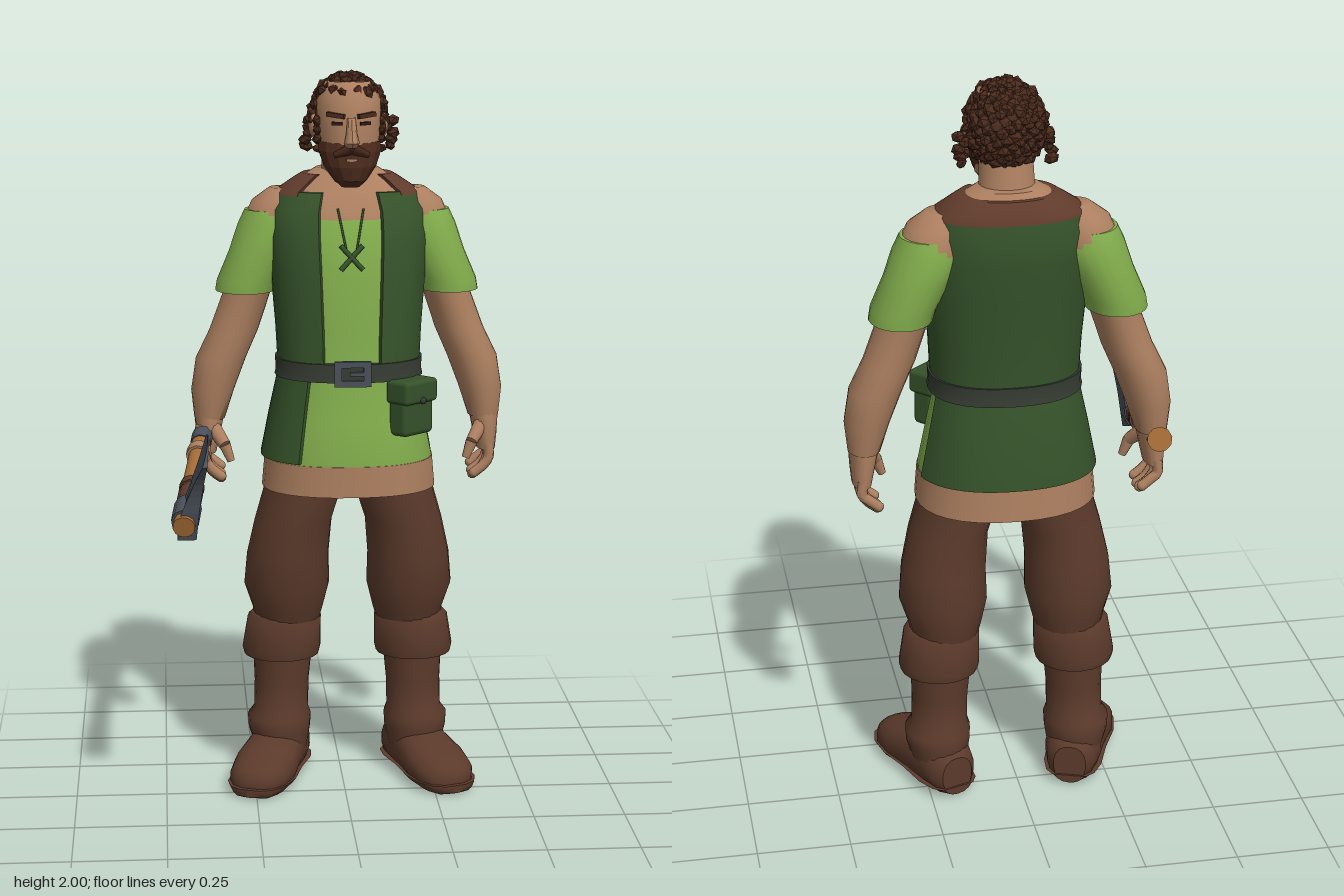
import * as THREE from 'three';
import { mergeGeometries, toCreasedNormals } from 'three/addons/utils/BufferGeometryUtils.js';
import { RoundedBoxGeometry } from 'three/addons/geometries/RoundedBoxGeometry.js';

const paint = (name, color, side = THREE.FrontSide) => {
  const m = new THREE.MeshStandardMaterial({ color, side });
  m.name = name;
  return m;
};
const V = (x, y, z) => new THREE.Vector3(x, y, z);

// Skin a stack of ellipses [y, cx, cz, rx, rz], bottom to top; an arc leaves an open gap with turned-in edges
function loft(rows, { n = 20, arc = null, pow = 1, crease = 0.8 } = {}) {
  const pos = [], idx = [], curve = t => Math.sign(t) * Math.abs(t) ** pow;
  const m = arc ? n + 3 : n;
  for (const [y, cx, cz, rx, rz] of rows) {
    for (let j = 0; j < m; j++) {
      const edge = arc && (j === 0 || j === m - 1);
      const k = arc ? Math.min(Math.max(j - 1, 0), n) : j;
      const a = arc ? arc[0] + (arc[1] - arc[0]) * k / n : k / n * Math.PI * 2;
      const d = edge ? 0.022 : 0;
      pos.push(cx + (rx - d) * curve(Math.sin(a)), y, cz + (rz - d) * curve(Math.cos(a)));
    }
  }
  for (let i = 0; i < rows.length - 1; i++) {
    for (let j = 0; j < (arc ? m - 1 : m); j++) {
      const a = i * m + j, b = i * m + (j + 1) % m;
      idx.push(a, b, b + m, a, b + m, a + m);
    }
  }
  if (!arc) [0, rows.length - 1].forEach((i, top) => {
    const c = pos.length / 3, [y, cx, cz] = rows[i];
    pos.push(cx, y, cz);
    for (let j = 0; j < m; j++) {
      const a = i * m + j, b = i * m + (j + 1) % m;
      top ? idx.push(c, a, b) : idx.push(c, b, a);
    }
  });
  const g = new THREE.BufferGeometry();
  g.setAttribute('position', new THREE.Float32BufferAttribute(pos, 3));
  g.setIndex(idx);
  return toCreasedNormals(g, crease);
}

// Torso outline: [y, centre z, half width, half depth]
const TORSO = [[0.85, -0.167, 0.24, 0.197], [0.94, -0.165, 0.232, 0.193], [1.05, -0.168, 0.21, 0.178],
  [1.18, -0.163, 0.182, 0.15], [1.3, -0.168, 0.188, 0.148], [1.45, -0.18, 0.2, 0.148], [1.55, -0.193, 0.208, 0.143],
  [1.62, -0.207, 0.205, 0.13], [1.67, -0.218, 0.18, 0.107], [1.7, -0.222, 0.135, 0.09], [1.73, -0.222, 0.085, 0.07]];
function torsoAt(y, off) {
  let i = 0;
  while (i < TORSO.length - 2 && TORSO[i + 1][0] < y) i++;
  const a = TORSO[i], b = TORSO[i + 1], t = (y - a[0]) / (b[0] - a[0]);
  const [cz, rx, rz] = [1, 2, 3].map(k => a[k] + (b[k] - a[k]) * t);
  return [y, 0, cz, rx + off, rz + off];
}
const torso = (y0, y1, off = 0) =>
  [y0, ...TORSO.map(r => r[0]).filter(y => y > y0 + 0.001 && y < y1 - 0.001), y1].map(y => torsoAt(y, off));
// A garment layer whose top and bottom edges turn in to the body
const layer = (y0, y1, off) => [torsoAt(y0, -0.01), ...torso(y0, y1, off), torsoAt(y1, -0.01)];

function rod(p, q, r0, r1 = r0, n = 10) {
  const d = q.clone().sub(p), g = new THREE.CylinderGeometry(r1, r0, d.length(), n);
  g.applyQuaternion(new THREE.Quaternion().setFromUnitVectors(V(0, 1, 0), d.clone().normalize()));
  return g.translate(...p.clone().add(q).multiplyScalar(0.5).toArray());
}

export function createModel() {
  const skin = paint('skin', 0xad8060), lime = paint('tunic green', 0x82ad4c);
  const green = paint('vest green', 0x35522a, THREE.DoubleSide), brown = paint('brown leather', 0x5b3a2b);
  const yokeBrown = paint('yoke brown', 0x613c2c, THREE.DoubleSide);
  const hair = paint('hair brown', 0x4a2a1c), steel = paint('steel', 0x4a505a);
  const wood = paint('wood', 0xa56c36), belt = paint('belt leather', 0x353b31), eyeDark = paint('eye dark', 0x2a1c17);

  const root = new THREE.Group(), man = new THREE.Group(), axe = new THREE.Group();
  root.name = 'woodsman'; man.name = 'figure'; axe.name = 'axe';
  man.position.x = 0.02;
  root.add(man, axe);
  const add = (name, geo, mat, parent = man) => {
    const m = new THREE.Mesh(geo, mat);
    m.name = name;
    parent.add(m);
    return m;
  };

  // Tunic, chest and neck
  const TAU = Math.PI * 2, body = { n: 32, pow: 0.88 };
  add('tunicHem', loft(torso(0.85, 0.935, 0.002), body), skin);
  add('tunic', loft(torso(0.935, 1.6), body), lime);
  add('chest', loft(torso(1.6, 1.73), body), skin);
  add('neck', loft([[1.66, 0, -0.205, 0.085, 0.075], [1.72, 0, -0.2, 0.073, 0.068], [1.8, 0, -0.185, 0.07, 0.068]]), skin);

  // Open vest, its yoke and the split skirt
  add('vest', loft(layer(1.21, 1.67, 0.014), { ...body, arc: [0.36, TAU - 0.36] }), green);
  add('vestYoke', loft(layer(1.66, 1.715, 0.015), { ...body, arc: [0.75, TAU - 0.75] }), yokeBrown);
  add('vestSkirt', loft(layer(0.94, 1.17, 0.013), { ...body, arc: [1.85, TAU - 0.6] }), green);

  // Belt, buckle and pouch
  add('belt', loft(layer(1.165, 1.215, 0.02), body), belt);
  const frame = new THREE.Shape([[-0.05, -0.035], [0.05, -0.035], [0.05, 0.035], [-0.05, 0.035]].map(p => new THREE.Vector2(...p)));
  frame.holes.push(new THREE.Path([[-0.03, -0.018], [-0.03, 0.018], [0.03, 0.018], [0.03, -0.018]].map(p => new THREE.Vector2(...p))));
  add('buckle', new THREE.ExtrudeGeometry(frame, { depth: 0.014, bevelEnabled: false }).translate(0, 1.19, 0.001), steel);
  add('bucklePin', new THREE.BoxGeometry(0.04, 0.01, 0.012).translate(0.012, 1.19, 0.008), steel);
  const pouch = new THREE.Group();
  pouch.name = 'pouch';
  pouch.position.set(0.163, 1.085, -0.03);
  pouch.rotation.y = 0.75;
  man.add(pouch);
  add('pouchBag', new RoundedBoxGeometry(0.12, 0.14, 0.065, 2, 0.015), green, pouch);
  add('pouchFlap', new RoundedBoxGeometry(0.13, 0.065, 0.08, 2, 0.012).translate(0, 0.052, 0.003), green, pouch);
  add('pouchButton', new THREE.SphereGeometry(0.01, 8, 6).translate(0, 0.028, 0.043), belt, pouch);

  // Chest lacing
  for (const s of [-1, 1]) {
    add('laceCross', rod(V(-0.03 * s, 1.47, -0.026), V(0.03 * s, 1.535, -0.036), 0.007), green);
    add('laceString', rod(V(0.012 * s, 1.51, -0.034), V(0.035 * s, 1.63, -0.078), 0.003), green);
  }

  for (const s of [1, -1]) {
    const side = s > 0 ? 'left' : 'right';
    const limb = (rows, opt) => loft(rows.map(([y, x, ...r]) => [y, x * s, ...r]), opt);

    // Arm and sleeve
    add(side + 'Arm', limb([[1.03, 0.385, -0.225, 0.043, 0.058], [1.11, 0.376, -0.225, 0.06, 0.072],
      [1.2, 0.352, -0.228, 0.07, 0.08], [1.28, 0.315, -0.228, 0.068, 0.078], [1.38, 0.28, -0.228, 0.066, 0.084],
      [1.5, 0.232, -0.228, 0.082, 0.094], [1.58, 0.2, -0.228, 0.09, 0.096], [1.64, 0.185, -0.226, 0.078, 0.08],
      [1.675, 0.17, -0.224, 0.045, 0.045]], { crease: 1.3 }), skin);
    add(side + 'Sleeve', limb([[1.405, 0.272, -0.228, 0.066, 0.084], [1.39, 0.283, -0.226, 0.083, 0.1],
      [1.42, 0.276, -0.226, 0.085, 0.102], [1.5, 0.238, -0.228, 0.089, 0.101], [1.575, 0.207, -0.228, 0.095, 0.1],
      [1.615, 0.2, -0.228, 0.083, 0.085]]), lime);

    // Hand with curled fingers and thumb
    add(side + 'Palm', limb([[0.935, 0.393, -0.222, 0.026, 0.058], [0.98, 0.39, -0.22, 0.033, 0.062],
      [1.045, 0.385, -0.223, 0.042, 0.056]], { n: 14, crease: 1.3 }), skin);
    for (let i = 0; i < 4; i++) {
      const z = -0.176 - i * 0.031, drop = [0.01, 0, 0.004, 0.02][i];
      const path = [V(0.393 * s, 0.955, z), V(0.397 * s, 0.915, z), V(0.38 * s, 0.88 + drop, z), V(0.355 * s, 0.86 + drop, z)];
      add(side + 'Finger', new THREE.TubeGeometry(new THREE.CatmullRomCurve3(path), 8, 0.0145, 8), skin);
      add(side + 'Fingertip', new THREE.SphereGeometry(0.0145, 8, 6).translate(0.355 * s, 0.86 + drop, z), skin);
    }
    add(side + 'Thumb', rod(V(0.378 * s, 1.01, -0.19), V(0.345 * s, 0.965, -0.15), 0.022, 0.017), skin);
    add(side + 'ThumbTip', rod(V(0.345 * s, 0.965, -0.15), V(0.328 * s, 0.92, -0.145), 0.017, 0.011), skin);

    // Trouser leg, boot cuff and boot shaft
    add(side + 'Trouser', limb([[0.43, 0.172, -0.195, 0.085, 0.095], [0.49, 0.17, -0.19, 0.1, 0.112],
      [0.56, 0.173, -0.183, 0.12, 0.128], [0.65, 0.17, -0.175, 0.115, 0.126], [0.75, 0.155, -0.165, 0.108, 0.124],
      [0.86, 0.122, -0.163, 0.11, 0.125], [0.95, 0.11, -0.165, 0.11, 0.125]], { crease: 1.2 }), brown);
    add(side + 'BootCuff', limb([[0.345, 0.185, -0.198, 0.085, 0.085], [0.35, 0.188, -0.198, 0.106, 0.106],
      [0.37, 0.188, -0.198, 0.111, 0.11], [0.46, 0.18, -0.193, 0.104, 0.108], [0.475, 0.178, -0.193, 0.09, 0.1]]), brown);
    add(side + 'BootShaft', limb([[0.05, 0.19, -0.205, 0.07, 0.09], [0.13, 0.195, -0.202, 0.088, 0.1],
      [0.165, 0.195, -0.202, 0.09, 0.1], [0.19, 0.19, -0.2, 0.077, 0.083], [0.27, 0.188, -0.2, 0.077, 0.083],
      [0.37, 0.185, -0.2, 0.084, 0.088]], { crease: 0.9 }), brown);

    // Foot and sole, lofted from heel to toe
    const foot = (grow, lo, hi) => {
      const rows = [[-0.112, 0.06, 0.045, 0.055], [-0.09, 0.065, 0.065, 0.065], [-0.04, 0.075, 0.078, 0.075],
        [0.05, 0.065, 0.08, 0.072], [0.14, 0.05, 0.09, 0.062], [0.21, 0.04, 0.082, 0.052], [0.25, 0.034, 0.06, 0.04],
        [0.268, 0.03, 0.028, 0.024]].map(([z, cy, rx, ry]) => [z * (1 + grow), 0, -cy, rx * (1 + grow), ry]);
      const g = loft(rows, { n: 18, pow: 0.85 }).rotateX(Math.PI / 2), p = g.attributes.position;
      for (let i = 0; i < p.count; i++) p.setY(i, THREE.MathUtils.clamp(p.getY(i), lo, hi));
      return toCreasedNormals(g, 0.8).rotateY(0.34 * s).translate(0.195 * s, 0, -0.2);
    };
    add(side + 'Foot', foot(0, 0.015, 1), brown);
    add(side + 'Sole', foot(0.05, 0, 0.028), brown);
  }

  // Head, nose, brows and eyes
  add('head', loft([[1.7, 0, -0.11, 0.04, 0.045], [1.74, 0, -0.125, 0.07, 0.075], [1.8, 0, -0.14, 0.082, 0.093],
    [1.86, 0, -0.15, 0.088, 0.099], [1.92, 0, -0.155, 0.088, 0.1], [1.97, 0, -0.16, 0.065, 0.075]], { crease: 1.2 }), skin);
  add('nose', loft([[1.8, 0, -0.045, 0.018, 0.035], [1.813, 0, -0.035, 0.021, 0.038], [1.835, 0, -0.042, 0.015, 0.028],
    [1.878, 0, -0.055, 0.011, 0.012]], { n: 8 }), skin);
  for (const s of [-1, 1]) {
    add('brow', new THREE.BoxGeometry(0.05, 0.012, 0.025).rotateZ(0.12 * s).rotateY(0.4 * s).translate(0.04 * s, 1.884, -0.063), hair);
    add('eye', new THREE.BoxGeometry(0.03, 0.009, 0.008).rotateY(0.4 * s).translate(0.038 * s, 1.862, -0.06), eyeDark);
    add('ear', new THREE.SphereGeometry(0.03, 10, 8).scale(0.5, 1.1, 0.8).translate(0.095 * s, 1.85, -0.165), skin);
    add('moustache', rod(V(0, 1.797, -0.03), V(0.045 * s, 1.778, -0.05), 0.016, 0.008, 6), hair);
  }
  add('beard', loft([[1.69, 0, -0.085, 0.025, 0.03], [1.708, 0, -0.088, 0.045, 0.052], [1.745, 0, -0.11, 0.072, 0.08],
    [1.785, 0, -0.13, 0.087, 0.093], [1.81, 0, -0.14, 0.086, 0.092]], { n: 14, crease: 0.2 }), hair);
  add('lips', new THREE.BoxGeometry(0.03, 0.007, 0.008).translate(0, 1.766, -0.034), skin);

  // Curly hair: faceted clumps spread over the skull
  let seed = 7;
  const rand = () => (seed = (seed * 16807) % 2147483647) / 2147483647;
  const clump = (x, y, z, r) => new THREE.IcosahedronGeometry(r, 0).scale(1, 0.6 + rand() * 0.5, 0.8)
    .rotateX(rand() * 3).rotateY(rand() * 3).translate(x, y, z);
  const curls = [], COUNT = 260;
  for (let i = 0; i < COUNT; i++) {
    const y = 1 - 2 * (i + 0.5) / COUNT, r = Math.sqrt(1 - y * y), a = i * 2.39996;
    const x = r * Math.sin(a), z = r * Math.cos(a);
    if ((z < 0.15 && y > -0.8) || y > 0.6)
      curls.push(clump(x * 0.094, 1.875 + y * 0.105, -0.17 + z * 0.113, 0.017 + rand() * 0.008));
  }
  for (const s of [-1, 1]) {
    for (let i = 0; i < 5; i++) curls.push(clump((0.105 + rand() * 0.02) * s, 1.79 + i * 0.017, -0.19 - rand() * 0.02, 0.02));
    for (let i = 0; i < 4; i++) curls.push(clump(0.085 * s, 1.79 + i * 0.025, -0.125, 0.018));
  }
  add('hairCurls', mergeGeometries(curls), hair);
  add('hairCap', new THREE.SphereGeometry(1, 16, 12).scale(0.096, 0.108, 0.103).translate(0, 1.875, -0.18), hair);

  // Axe handle with bindings and pommel
  const butt = V(-0.37, 1.03, -0.31), end = V(-0.445, 0.845, 0.31);
  const on = t => butt.clone().lerp(end, t);
  add('handle', rod(butt, end, 0.024, 0.03, 12), wood, axe);
  add('pommel', rod(on(0), on(0.05), 0.034, 0.028, 10), wood, axe);
  for (const [t0, t1, r, m] of [[0.06, 0.1, 0.03, steel], [0.22, 0.3, 0.029, steel], [0.36, 0.41, 0.034, skin],
    [0.66, 0.7, 0.034, brown], [0.72, 0.82, 0.033, brown], [0.83, 0.96, 0.037, steel]])
    add(m === steel ? 'collar' : 'binding', rod(on(t0), on(t1), r, r, 10), m, axe);

  // Axe blade, tapering up to a flared cutting edge and leaning inward
  const blade = new THREE.Shape();
  blade.moveTo(0.21, 0.84);
  blade.lineTo(0.29, 0.805);
  blade.lineTo(0.31, 0.88);
  blade.quadraticCurveTo(0.325, 0.98, 0.385, 1.02);
  blade.quadraticCurveTo(0.27, 1.085, 0.13, 1.055);
  blade.quadraticCurveTo(0.215, 1.0, 0.225, 0.93);
  const bg = new THREE.ExtrudeGeometry(blade, { depth: 0.05, bevelEnabled: false, curveSegments: 8 })
    .translate(0, 0, -0.025).rotateY(-Math.PI / 2);
  const bp = bg.attributes.position;
  for (let i = 0; i < bp.count; i++) {
    const y = bp.getY(i), taper = THREE.MathUtils.clamp((1.07 - y) / 0.2, 0.08, 1);
    bp.setX(i, bp.getX(i) * taper - 0.437 + Math.max(0, y - 0.85) * 0.28);
  }
  bg.computeVertexNormals();
  add('blade', bg, steel, axe);
  return root;
}
